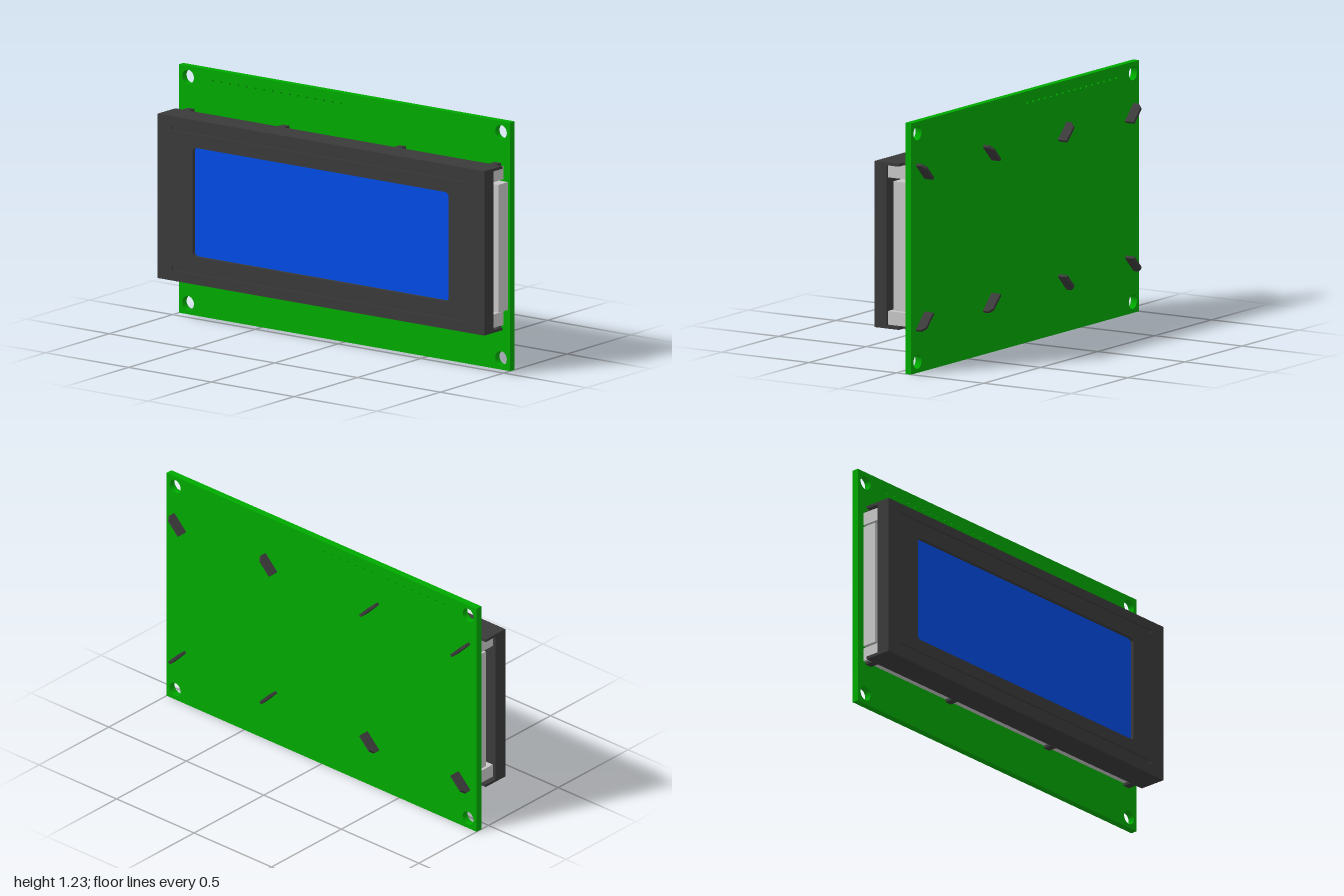
import * as THREE from 'three';

const mat = (name, color) => {
  const m = new THREE.MeshStandardMaterial({ color });
  m.name = name;
  return m;
};

// Rounded rectangle traced into a Shape or Path
function roundRect(p, x0, y0, x1, y1, r) {
  p.moveTo(x0 + r, y0);
  p.lineTo(x1 - r, y0);
  p.absarc(x1 - r, y0 + r, r, -Math.PI / 2, 0);
  p.lineTo(x1, y1 - r);
  p.absarc(x1 - r, y1 - r, r, 0, Math.PI / 2);
  p.lineTo(x0 + r, y1);
  p.absarc(x0 + r, y1 - r, r, Math.PI / 2, Math.PI);
  p.lineTo(x0, y0 + r);
  p.absarc(x0 + r, y0 + r, r, Math.PI, Math.PI * 1.5);
  return p;
}

function rect(x0, y0, x1, y1) {
  return new THREE.Shape([[x0, y0], [x1, y0], [x1, y1], [x0, y1]].map(([x, y]) => new THREE.Vector2(x, y)));
}

function circle(x, y, r) {
  return new THREE.Path().absarc(x, y, r, 0, Math.PI * 2);
}

export function createModel() {
  const model = new THREE.Group();
  model.name = 'displayModule';
  const green = mat('boardGreen', 0x00aa00);
  const dark = mat('bezelGrey', 0x3a3a3a);
  const blue = mat('screenBlue', 0x004ce6);
  const grey = mat('backlightGrey', 0xc8c8c8);

  const add = (name, geo, material, parent = model) => {
    const m = new THREE.Mesh(geo, material);
    m.name = name;
    parent.add(m);
    return m;
  };
  // Box given by its limits on each axis
  const box = (name, material, [x0, x1], [y0, y1], [z0, z1], parent) =>
    add(name, new THREE.BoxGeometry(x1 - x0, y1 - y0, z1 - z0), material, parent)
      .position.set((x0 + x1) / 2, (y0 + y1) / 2, (z0 + z1) / 2);
  // Flat outline extruded from z0 to z1
  const plate = (name, material, shape, z0, z1, parent) => {
    const geo = new THREE.ExtrudeGeometry(shape, { depth: z1 - z0, bevelEnabled: false, curveSegments: 16 });
    add(name, geo, material, parent).position.z = z0;
  };

  // Circuit board with mounting holes and a row of pin holes
  const board = rect(-1, 0, 1, 1.225);
  for (const x of [-0.945, 0.945]) for (const y of [0.055, 1.17]) board.holes.push(circle(x, y, 0.035));
  for (let i = 0; i < 16; i++) board.holes.push(circle(-0.795 + i * 0.0517, 1.17, 0.0065));
  plate('circuitBoard', green, board, -0.085, -0.051);

  // Bezel: slotted front layer over a backing layer, plus folded walls
  const bezel = new THREE.Group();
  bezel.name = 'bezel';
  model.add(bezel);
  const X = 0.987, Y0 = 0.208, Y1 = 1.018, T = 0.014;
  const addWindow = (s) => s.holes.push(roundRect(new THREE.Path(), -0.775, 0.345, 0.77, 0.882, 0.02));
  const front = rect(-X, Y0, X, Y1);
  addWindow(front);
  for (const y of [0.27, 0.96]) front.holes.push(roundRect(new THREE.Path(), -0.9, y - 0.011, 0.895, y + 0.011, 0.008));
  plate('bezelFront', dark, front, 0.127, 0.135, bezel);
  const backing = rect(-X, Y0, X, Y1);
  addWindow(backing);
  plate('bezelBacking', dark, backing, 0.118, 0.127, bezel);
  box('bezelTopWall', dark, [-X, X], [Y1 - T, Y1], [-0.006, 0.118], bezel);
  box('bezelBottomWall', dark, [-X, X], [Y0, Y0 + T], [-0.006, 0.118], bezel);
  for (const s of [-1, 1]) {
    box('bezelSideWall', dark, [s * X - (s > 0 ? T : 0), s * X + (s > 0 ? 0 : T)],
      [Y0 + T, Y1 - T], [0.065, 0.118], bezel);
  }

  // Blue screen face in the window, on a dark panel filling the bezel
  box('screen', blue, [-0.775, 0.77], [0.345, 0.882], [0.112, 0.118]);
  box('screenPanel', dark, [T - X, X - T], [Y0 + T, Y1 - T], [0.075, 0.112]);

  // Backlight slab and contact strips between screen and board
  box('backlight', grey, [-0.96, 0.987], [0.3, 0.93], [-0.051, 0.025]);
  box('upperContactStrip', grey, [-0.96, 0.96], [0.94, Y1 - T], [-0.051, 0.075]);
  box('lowerContactStrip', grey, [-0.96, 0.96], [Y0 + T, 0.288], [-0.051, 0.075]);

  // Bezel tabs: straight through the board, then twisted to lock behind it
  const tip = new THREE.Shape([[-0.054, 0], [0.054, 0], [0.054, 0.031], [0.034, 0.051], [-0.054, 0.051]]
    .map(([x, y]) => new THREE.Vector2(x, y)));
  const tipGeo = new THREE.ExtrudeGeometry(tip, { depth: 0.014, bevelEnabled: false });
  tipGeo.translate(0, 0, -0.007);
  tipGeo.rotateX(-Math.PI / 2);
  for (const sx of [-1, 1]) for (const sy of [-1, 1]) for (const [xs, xt] of [[0.925, 0.917], [0.353, 0.329]]) {
    const edge = sy > 0 ? Y1 - T : Y0;
    box('bezelTab', dark, [sx * xs - 0.019, sx * xs + 0.019], [edge, edge + T], [-0.06, -0.006], bezel);
    const t = add('twistedTab', tipGeo, dark, bezel);
    t.position.set(sx * xt, sy > 0 ? 0.98 : 0.247, -0.084);
    t.rotation.z = Math.atan2(sy, sx);
  }
  return model;
}
